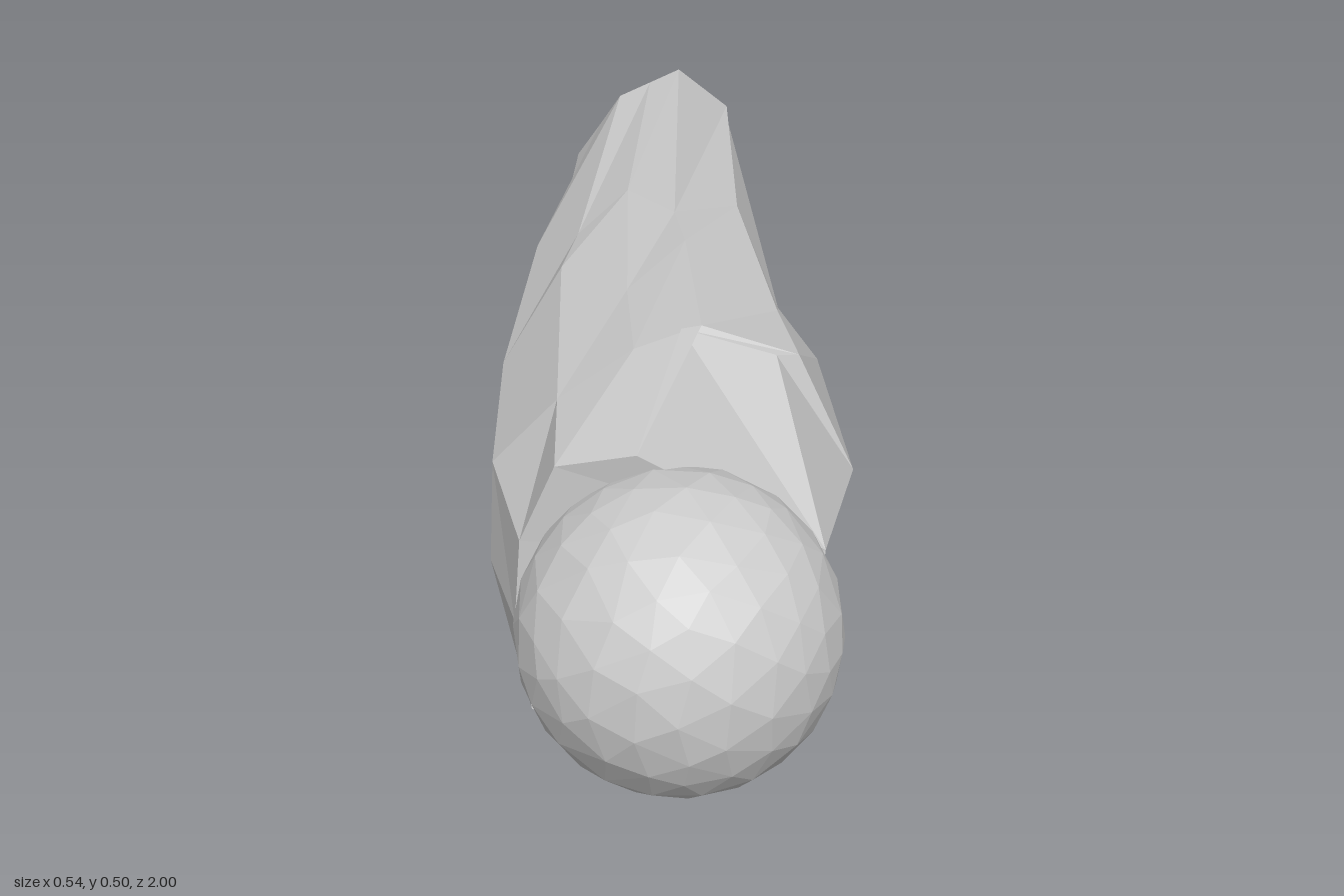
import * as THREE from 'three';

const material = new THREE.MeshStandardMaterial({ color: 0xcccccc, flatShading: true, side: THREE.DoubleSide });

// Jagged front rim, with a notch at the top right and one at the lower right
const frontRim = [
  [0.2, 0.31, 0.68], [0.15, 0.46, 0.38], [0.01, 0.505, 0.38], [-0.06, 0.48, 0.71],
  [-0.17, 0.465, 0.71], [-0.22, 0.35, 0.71], [-0.23, 0.22, 0.71], [-0.21, 0.08, 0.72],
  [-0.1, 0.035, 0.73], [0.045, 0, 0.73], [0.175, 0.07, 0.73], [0.19, 0.1, 0.4],
];

// Widest cross-section; the sections behind it are scaled copies
const shoulder = [
  [0.27, 0.265, 0.38], [0.185, 0.45, 0.36], [0.04, 0.505, 0.37], [-0.06, 0.493, 0.42],
  [-0.17, 0.455, 0.5], [-0.265, 0.355, 0.5], [-0.27, 0.22, 0.55], [-0.21, 0.1, 0.48],
  [-0.11, 0.045, 0.4], [0.04, 0.022, 0.4], [0.15, 0.06, 0.4], [0.2, 0.11, 0.37],
];

// Broken tail end, with a groove running in underneath
const tailRim = [
  [0.15, 0.3, -1], [0.148, 0.33, -1], [0.05, 0.41, -1], [-0.01, 0.41, -0.925],
  [-0.07, 0.41, -0.85], [-0.11, 0.34, -0.88], [-0.155, 0.265, -0.91], [-0.11, 0.18, -0.86],
  [-0.065, 0.1, -0.81], [0, 0.145, -0.9], [0.126, 0.145, -0.98], [0.14, 0.23, -0.99],
];

// Scaled section whose points zigzag in z to give uneven facets
function section(z, scaleX, shiftX, scaleY, centreY, stagger) {
  return shoulder.map(([x, y], i) => [
    x * scaleX + shiftX,
    centreY + (y - 0.2635) * scaleY,
    z + (i % 2 ? stagger : -stagger),
  ]);
}

function createShaft() {
  const rings = [
    frontRim,
    shoulder,
    section(0.1, 0.95, -0.01, 0.9, 0.268, 0.08),
    section(-0.2, 0.77, -0.015, 0.75, 0.285, -0.06),
    tailRim,
  ];
  const n = frontRim.length;
  const index = [];
  for (let k = 0; k < rings.length - 1; k++) {
    for (let i = 0; i < n; i++) {
      const j = (i + 1) % n;
      const a = k * n + i, b = k * n + j;
      index.push(a, a + n, b, b, a + n, b + n);
    }
  }
  // Front cap fans out from the right-hand corner, so it fills both notches
  for (let i = 1; i < n - 1; i++) index.push(0, i, i + 1);
  // Tail cap fans out from the groove
  const tail = (rings.length - 1) * n;
  for (let i = 1; i < n - 1; i++) {
    index.push(tail + 9, tail + ((9 + i + 1) % n), tail + ((9 + i) % n));
  }
  const geometry = new THREE.BufferGeometry();
  geometry.setAttribute('position', new THREE.Float32BufferAttribute(rings.flat(2), 3));
  geometry.setIndex(index);
  const flat = geometry.toNonIndexed();
  flat.computeVertexNormals();
  const mesh = new THREE.Mesh(flat, material);
  mesh.name = 'shaft';
  return mesh;
}

// Slightly irregular faceted ball at the front
function createBall() {
  const geometry = new THREE.IcosahedronGeometry(0.226, 3);
  const p = geometry.attributes.position;
  const v = new THREE.Vector3();
  for (let i = 0; i < p.count; i++) {
    v.fromBufferAttribute(p, i);
    const dx = Math.sin(v.y * 37 + v.z * 23);
    const dy = Math.sin(v.z * 41 + v.x * 19);
    const dz = Math.sin(v.x * 31 + v.y * 29);
    v.x += dx * 0.01;
    v.y += dy * 0.01;
    v.z += dz * 0.01;
    v.setLength(0.225);
    p.setXYZ(i, v.x, v.y, v.z);
  }
  geometry.computeVertexNormals();
  const mesh = new THREE.Mesh(geometry, material);
  mesh.name = 'ball';
  mesh.position.set(-0.005, 0.245, 0.775);
  return mesh;
}

export function createModel() {
  const group = new THREE.Group();
  group.name = 'ballEndedShaft';
  group.add(createShaft(), createBall());
  return group;
}
